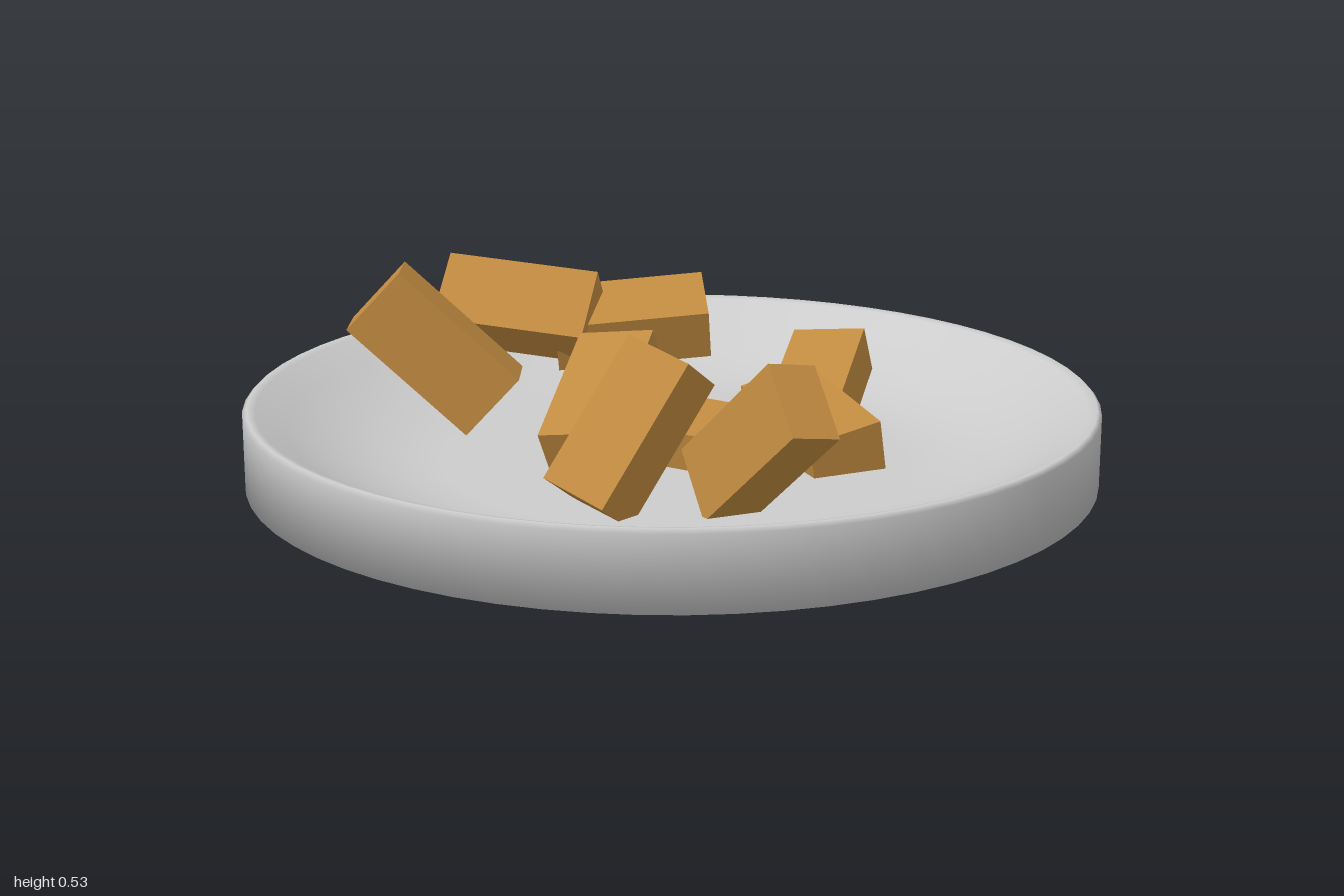
import * as THREE from 'three';

// Sticks: centre, direction of the long side, direction of the wide side
const STICKS = [
  [[0, 0.12, 0], [1, 0, 0], [0, -0.2, 0.98]],
  [[-0.22, 0.335, -0.163], [0.3, 0.03, -0.215], [0.1, -0.065, 0.145]],
  [[-0.447, 0.342, 0.323], [-0.624, 0.68, 0.38], [-0.58, -0.73, 0.355]],
  [[-0.435, 0.375, 0.003], [0.35, -0.03, -0.125], [0.02, -0.125, 0.118]],
  [[-0.07, 0.235, 0.187], [0.27, -0.42, 0.87], [0.95, 0.12, -0.24]],
  [[0.12, 0.242, 0.37], [0.26, 0.8, -0.54], [0.98, -0.19, 0.18]],
  [[0.41, 0.24, 0.3], [0.27, 0.26, 0.075], [0.11, -0.125, 0.076]],
  [[0.273, 0.137, -0.19], [0.82, -0.13, 0.55], [-0.53, -0.2, 0.8]],
  [[0.142, 0.137, -0.455], [-0.25, 0.37, -0.89], [0.96, 0.1, -0.23]],
];

export function createModel() {
  const model = new THREE.Group();
  model.name = 'plateOfSticks';

  // Shallow round plate: flat underside, upright rim, dished inside
  const profile = [[0, 0.045], [0.55, 0.045], [1, 0.045], [1, 0.215], [0.99, 0.225], [0.97, 0.22]];
  const floorY = 0.07, floorR = 0.55;
  for (let i = 5; i >= 0; i--) {
    const t = i / 6;
    profile.push([floorR + 0.42 * t, floorY + 0.15 * t * t]);
  }
  profile.push([0, floorY]);
  const plate = new THREE.Mesh(
    new THREE.LatheGeometry(profile.map(([r, y]) => new THREE.Vector2(r, y)), 64),
    new THREE.MeshStandardMaterial({ color: 0xcccccc })
  );
  plate.name = 'plate';
  model.add(plate);

  // Heap of identical rectangular sticks
  const stickGeometry = new THREE.BoxGeometry(0.37, 0.183, 0.125);
  const stickMaterial = new THREE.MeshStandardMaterial({ color: 0xc08a40 });
  const sticks = new THREE.Group();
  sticks.name = 'sticks';
  STICKS.forEach(([centre, long, wide], i) => {
    const u = new THREE.Vector3(...long).normalize();
    const v = new THREE.Vector3(...wide);
    v.addScaledVector(u, -u.dot(v)).normalize();
    const w = new THREE.Vector3().crossVectors(u, v);
    const stick = new THREE.Mesh(stickGeometry, stickMaterial);
    stick.quaternion.setFromRotationMatrix(new THREE.Matrix4().makeBasis(u, v, w));
    stick.position.set(...centre);
    stick.name = `stick${i + 1}`;
    sticks.add(stick);
  });
  model.add(sticks);

  return model;
}
